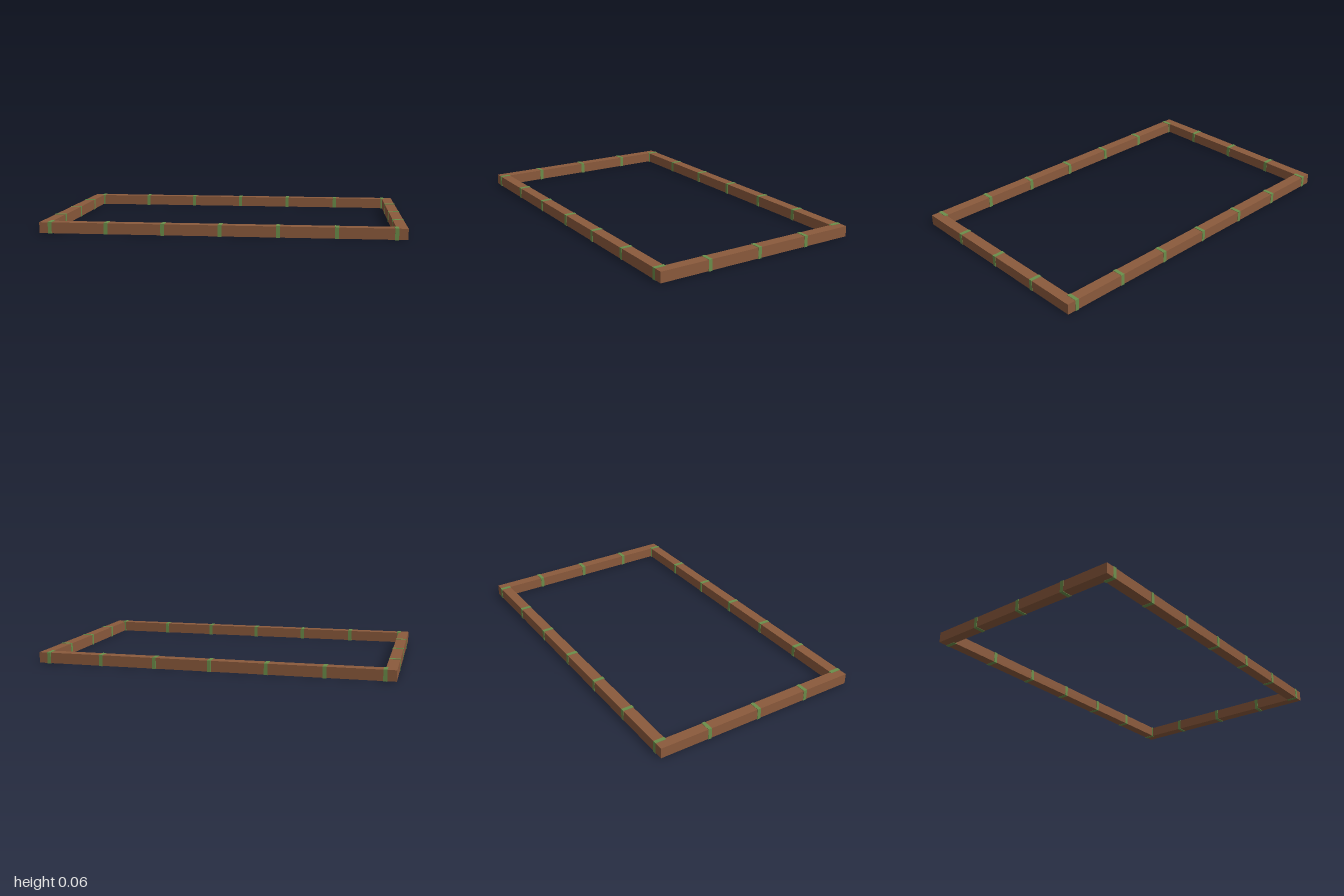
import * as THREE from 'three';

const W = 0.06;        // beam width
const H = 0.06;        // beam height
const LIP = 0.002;     // how far the bands stand proud of the beams
const STEP = 0.313;    // spacing of the bands
const HALF_X = 0.998, HALF_Z = 0.606;

export function createModel() {
  const group = new THREE.Group();
  group.name = 'rectangularFrame';
  const wood = new THREE.MeshStandardMaterial({ name: 'brown wood', color: 0x8b5a3c });
  const green = new THREE.MeshStandardMaterial({ name: 'moss green', color: 0x6b8e4a });

  const box = (name, material, w, h, d, x, z) => {
    const mesh = new THREE.Mesh(new THREE.BoxGeometry(w, h, d), material);
    mesh.name = name;
    mesh.position.set(x, H / 2 + LIP, z);
    group.add(mesh);
  };

  const bandH = H + 2 * LIP, bandW = W + 2 * LIP, bandT = 0.021;

  for (const s of [-1, 1]) {
    // Long beams run the full width, with seven bands each
    const z = s * (HALF_Z - W / 2);
    box('longBeam', wood, HALF_X * 2, H, W, 0, z);
    for (let i = -3; i <= 3; i++) box('longBeamBand', green, bandT, bandH, bandW, i * STEP, z);

    // Short beams butt between the long ones, with three bands each
    const x = s * (HALF_X - W / 2);
    box('shortBeam', wood, W, H, (HALF_Z - W) * 2, x, 0);
    for (let i = -1; i <= 1; i++) box('shortBeamBand', green, bandW, bandH, bandT, x, i * STEP);
  }
  return group;
}
